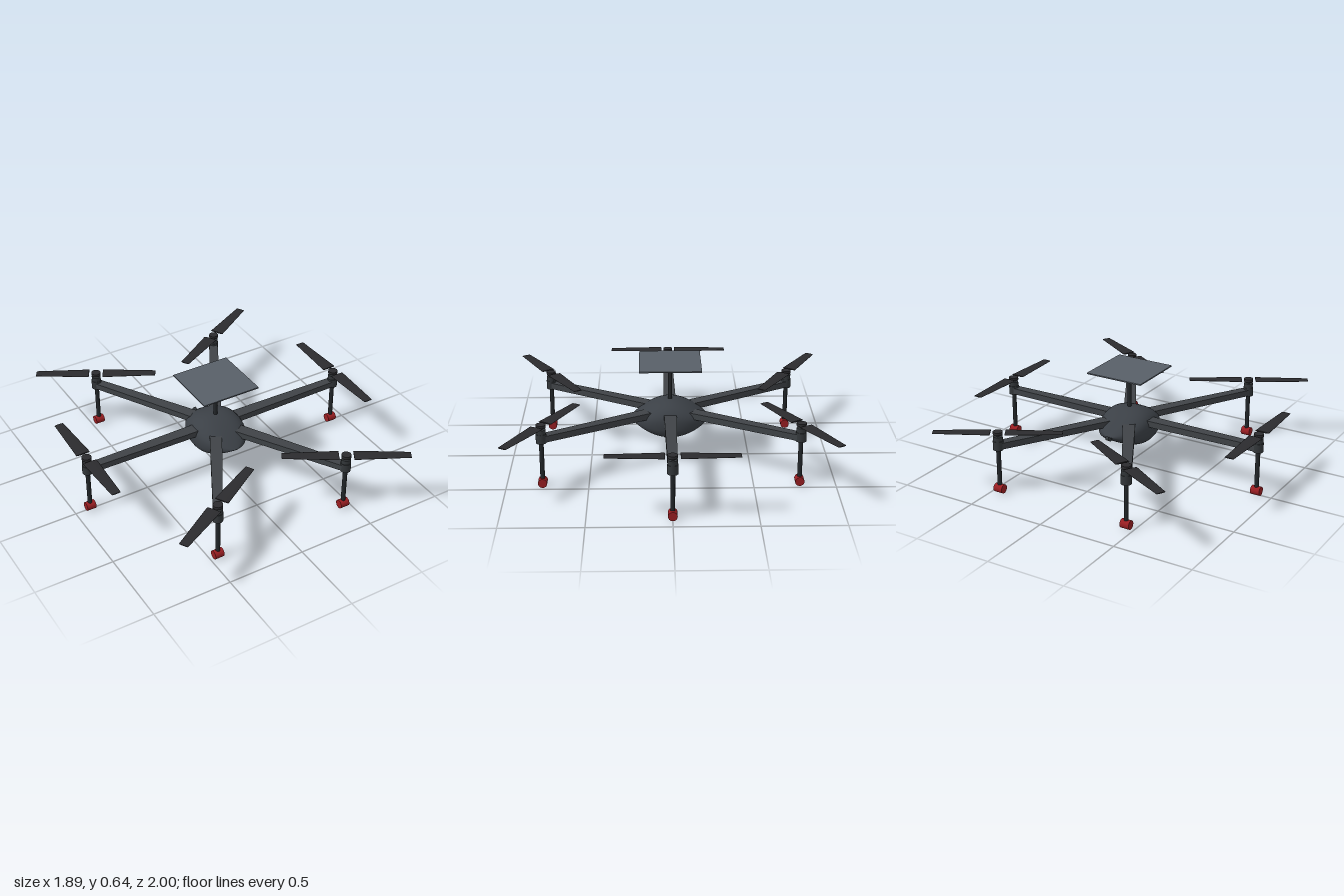
import * as THREE from 'three';

const mat = (color, extra = {}) => {
  const m = new THREE.MeshStandardMaterial({ color });
  return Object.assign(m, extra);
};
const shellMat = mat(0x3b4046);
const armMat = mat(0x3f4347);
const motorMat = mat(0x33373a);
const legMat = mat(0x222629);
const bladeMat = mat(0x2b2b2e);
const footMat = mat(0x9a1e22);
const plateMat = mat(0x585f68);

function add(parent, name, geometry, material, x = 0, y = 0, z = 0) {
  const mesh = new THREE.Mesh(geometry, material);
  mesh.name = name;
  mesh.position.set(x, y, z);
  parent.add(mesh);
  return mesh;
}

// Upright cylinder between two heights
function post(parent, name, r, y0, y1, material, sides = 20) {
  return add(parent, name, new THREE.CylinderGeometry(r, r, y1 - y0, sides), material, 0, (y0 + y1) / 2, 0);
}

// Lens-shaped hull: superellipse sections swept from tail to nose
function hullGeometry() {
  const rings = 40, sides = 40, length = 0.25;
  const pos = [], idx = [];
  const bend = (v, n) => Math.sign(v) * Math.pow(Math.abs(v), 2 / n);
  for (let i = 0; i <= rings; i++) {
    const t = -Math.cos((i / rings) * Math.PI), a = Math.abs(t);
    const w = 0.17 * Math.pow(Math.max(0, 1 - Math.pow(a, 2.5)), 0.7);
    const up = 0.125 * (1 - Math.pow(a, 1.8));
    const down = 0.11 * (1 - Math.pow(a, 1.9));
    for (let j = 0; j < sides; j++) {
      const q = (j / sides) * Math.PI * 2, s = Math.sin(q);
      const n = s > 0 ? 2.4 : 2.8;
      pos.push(w * bend(Math.cos(q), n), 0.265 + (s > 0 ? up : down) * bend(s, n), t * length);
    }
  }
  for (let i = 0; i < rings; i++) {
    for (let j = 0; j < sides; j++) {
      const k = (j + 1) % sides;
      const a = i * sides + j, b = i * sides + k, c = a + sides, d = b + sides;
      idx.push(a, b, d, a, d, c);
    }
  }
  const g = new THREE.BufferGeometry();
  g.setAttribute('position', new THREE.Float32BufferAttribute(pos, 3));
  g.setIndex(idx);
  g.computeVertexNormals();
  return g;
}

// Boom running along +x, narrowing towards the motor
function armGeometry() {
  const g = new THREE.BoxGeometry(0.82, 0.04, 1);
  const p = g.attributes.position;
  for (let i = 0; i < p.count; i++) {
    p.setZ(i, p.getZ(i) * (p.getX(i) < 0 ? 0.08 : 0.055));
  }
  g.translate(0.49, 0.313, 0);
  g.computeVertexNormals();
  return g;
}

// Thin tapered blade pointing along +z
function bladeGeometry() {
  const g = new THREE.CylinderGeometry(0.029, 0.045, 0.345, 20);
  g.rotateX(Math.PI / 2);
  g.scale(1, 0.09, 1);
  g.translate(0, 0, 0.2175);
  return g;
}

export function createModel() {
  const model = new THREE.Group();
  model.name = 'hexacopter';

  add(model, 'hull', hullGeometry(), shellMat);

  // Mast and square top plate
  post(model, 'mast', 0.0125, 0.37, 0.63, legMat);
  add(model, 'topPlate', new THREE.BoxGeometry(0.385, 0.008, 0.385), plateMat, 0, 0.633, 0);

  // Small sensors under the belly and at the tail
  for (const x of [0, 0.045]) {
    add(model, 'bellySensor', new THREE.CylinderGeometry(0.009, 0.009, 0.03, 14), motorMat, x, 0.157, 0.03);
  }
  const tail = add(model, 'tailSensor', new THREE.CylinderGeometry(0.012, 0.012, 0.045, 16), motorMat, 0, 0.256, -0.25);
  tail.rotation.x = -Math.PI / 3;

  // Six arms, each with motor, rotor, leg and foot
  const armGeo = armGeometry(), bladeGeo = bladeGeometry();
  const footGeo = new THREE.CylinderGeometry(0.028, 0.028, 0.06, 24).rotateZ(Math.PI / 2);
  for (let i = 0; i < 6; i++) {
    const angle = (i * Math.PI) / 3;
    const arm = add(model, 'arm', armGeo, armMat);
    arm.rotation.y = -angle;

    const station = new THREE.Group();
    station.name = 'motorStation';
    station.position.set(0.9 * Math.cos(angle), 0, 0.9 * Math.sin(angle));
    model.add(station);
    post(station, 'motorMount', 0.032, 0.287, 0.345, motorMat);
    post(station, 'motor', 0.029, 0.345, 0.374, motorMat);
    post(station, 'shaft', 0.012, 0.374, 0.388, legMat);
    post(station, 'leg', 0.014, 0.04, 0.29, legMat);
    add(station, 'foot', footGeo, footMat, 0, 0.028, 0);

    const rotor = new THREE.Group();
    rotor.name = 'rotor';
    rotor.rotation.y = angle;
    station.add(rotor);
    post(rotor, 'rotorHub', 0.03, 0.386, 0.404, bladeMat);
    for (const turn of [0, Math.PI]) {
      const blade = add(rotor, 'blade', bladeGeo, bladeMat, 0, 0.397, 0);
      blade.rotation.y = turn;
    }
  }
  return model;
}
